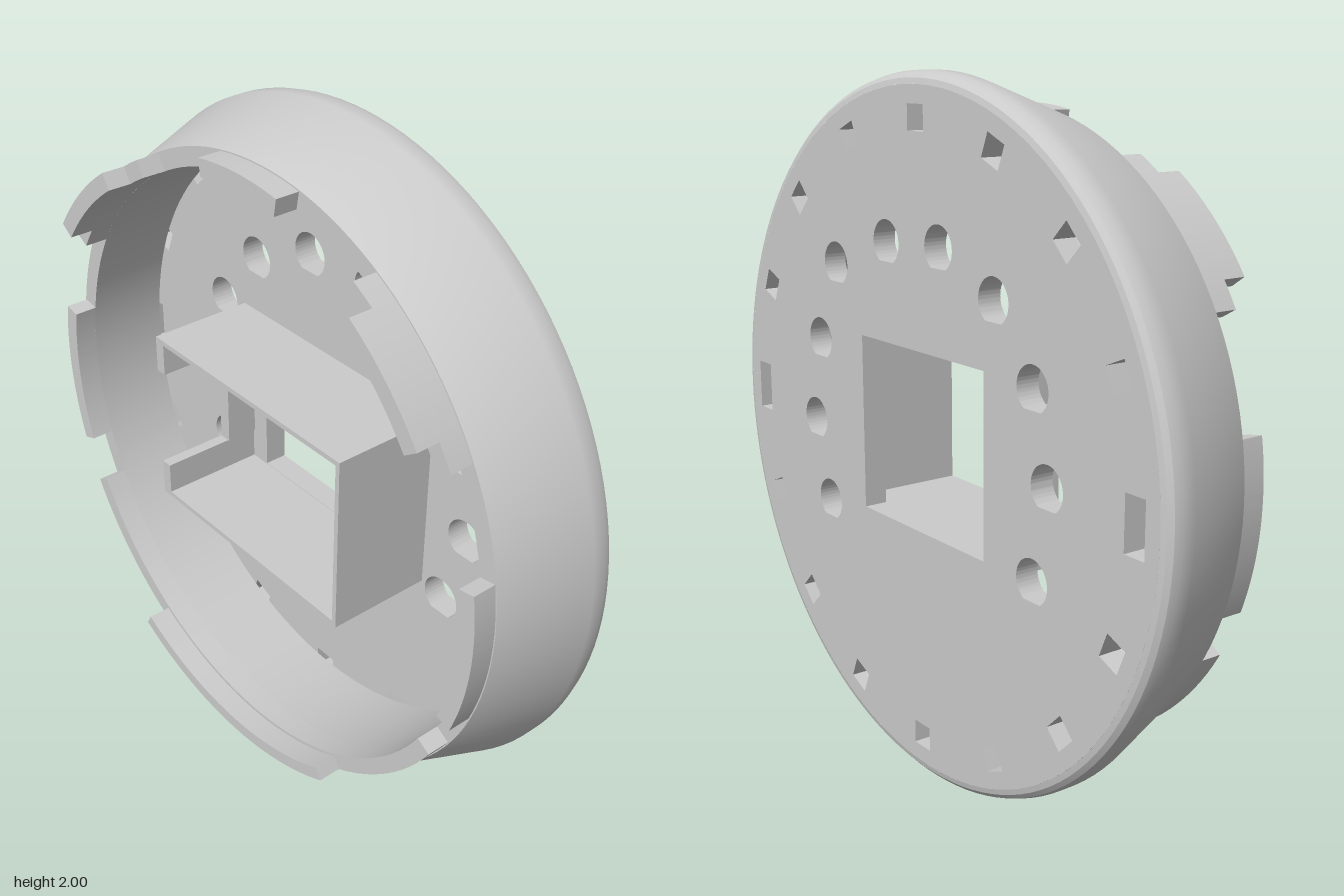
import * as THREE from 'three';
import { toCreasedNormals } from 'three/addons/utils/BufferGeometryUtils.js';

const material = new THREE.MeshStandardMaterial({ color: 0xcccccc });
const rad = THREE.MathUtils.degToRad;
const BACK = -0.23, FLOOR = -0.16, RIM = 0.09, SHORT = 0.16, TALL = 0.23;

function add(parent, name, geometry) {
  const mesh = new THREE.Mesh(toCreasedNormals(geometry, 0.45), material);
  mesh.name = name;
  parent.add(mesh);
  return mesh;
}

function extrude(shape, z0, z1, curveSegments = 24) {
  return new THREE.ExtrudeGeometry(shape, { depth: z1 - z0, bevelEnabled: false, curveSegments })
    .translate(0, 0, z0);
}

function block(parent, name, x0, x1, y0, y1, z0, z1) {
  const g = new THREE.BoxGeometry(x1 - x0, y1 - y0, z1 - z0);
  return add(parent, name, g.translate((x0 + x1) / 2, (y0 + y1) / 2, (z0 + z1) / 2));
}

function polygonPath(points) {
  return new THREE.Path(points.map(([x, y]) => new THREE.Vector2(x, y)));
}

// Curved tab standing on the rim, angles in degrees from +x
function rimTab(parent, name, a0, a1, z0, z1, inner = 0.86, outer = 0.91) {
  const s = new THREE.Shape();
  s.absarc(0, 0, outer, rad(a0), rad(a1), false);
  s.absarc(0, 0, inner, rad(a1), rad(a0), true);
  add(parent, name, extrude(s, z0, z1));
}

export function createModel() {
  const model = new THREE.Group();
  const body = new THREE.Group();
  body.name = 'ringBody';
  body.position.y = 1;
  model.add(body);

  // Back plate with window, round holes and edge slots
  const plate = new THREE.Shape();
  plate.absarc(0, 0, 0.965, 0, Math.PI * 2, false);
  plate.holes.push(polygonPath([[-0.3, -0.255], [-0.3, 0.26], [0.285, 0.26], [0.285, -0.255]]));
  const holes = [[-0.1, 0.55], [0.15, 0.54], [0.42, 0.45], [0.52, 0.213], [0.56, -0.04],
    [0.487, -0.283], [-0.34, 0.445], [-0.5, 0.25], [-0.56, 0.01], [-0.503, -0.25]];
  for (const [x, y] of holes) {
    const h = new THREE.Path();
    h.absarc(x, y, 0.063, rad(-58), rad(238), false); // flat at the bottom
    h.closePath();
    plate.holes.push(h);
  }
  for (let i = 0; i < 16; i++) {
    const a = (i / 16) * Math.PI * 2;
    const w = i % 8 === 0 ? 0.075 : 0.037;
    const at = (r, t) => [r * Math.cos(a) - t * Math.sin(a), r * Math.sin(a) + t * Math.cos(a)];
    plate.holes.push(polygonPath([at(0.845, -w), at(0.845, w), at(0.915, w), at(0.915, -w)]));
  }
  add(body, 'backPlate', extrude(plate, BACK, FLOOR, 48));

  // Tapered outer wall with a rounded back edge
  const profile = [[0.965, BACK], [0.981, -0.226], [0.994, -0.214], [1, -0.195], [1, -0.155],
    [0.914, RIM], [0.86, RIM], [0.868, FLOOR], [0.965, FLOOR]];
  const wall = new THREE.LatheGeometry(profile.map(([r, z]) => new THREE.Vector2(r, z)), 128);
  add(body, 'outerWall', wall.rotateX(Math.PI / 2));

  // Short and tall tabs around the rim
  rimTab(body, 'topTab', 80, 100, RIM, SHORT);
  for (const side of [1, -1]) {
    const tab = (name, a0, a1, z0, z1) =>
      side > 0 ? rimTab(body, name, a0, a1, z0, z1) : rimTab(body, name, 180 - a1, 180 - a0, z0, z1);
    tab('upperTab', 29.5, 61, RIM, SHORT);
    tab('upperTallTab', 34.5, 56, SHORT, TALL);
    tab('sideTab', -20, 10, RIM, SHORT);
  }
  rimTab(body, 'lowerTab', 209.5, 330.5, RIM, SHORT);
  rimTab(body, 'lowerTallTab', 241, 299, SHORT, TALL, 0.87);

  // Open box around the window
  const box = new THREE.Group();
  box.name = 'windowBox';
  body.add(box);
  block(box, 'boxTop', -0.4, 0.41, 0.257, 0.272, FLOOR, SHORT);
  block(box, 'boxBottom', -0.4, 0.41, -0.272, -0.257, FLOOR, SHORT);
  block(box, 'boxRight', 0.395, 0.41, -0.257, 0.257, FLOOR, SHORT);
  // Left wall is cut away in the middle
  block(box, 'boxLeftLow', -0.4, -0.36, -0.16, 0.16, FLOOR, -0.06);
  for (const [y0, y1] of [[0.16, 0.257], [-0.257, -0.16]]) {
    block(box, 'boxLeftCorner', -0.4, -0.365, y0, y1, FLOOR, SHORT);
  }
  return model;
}
